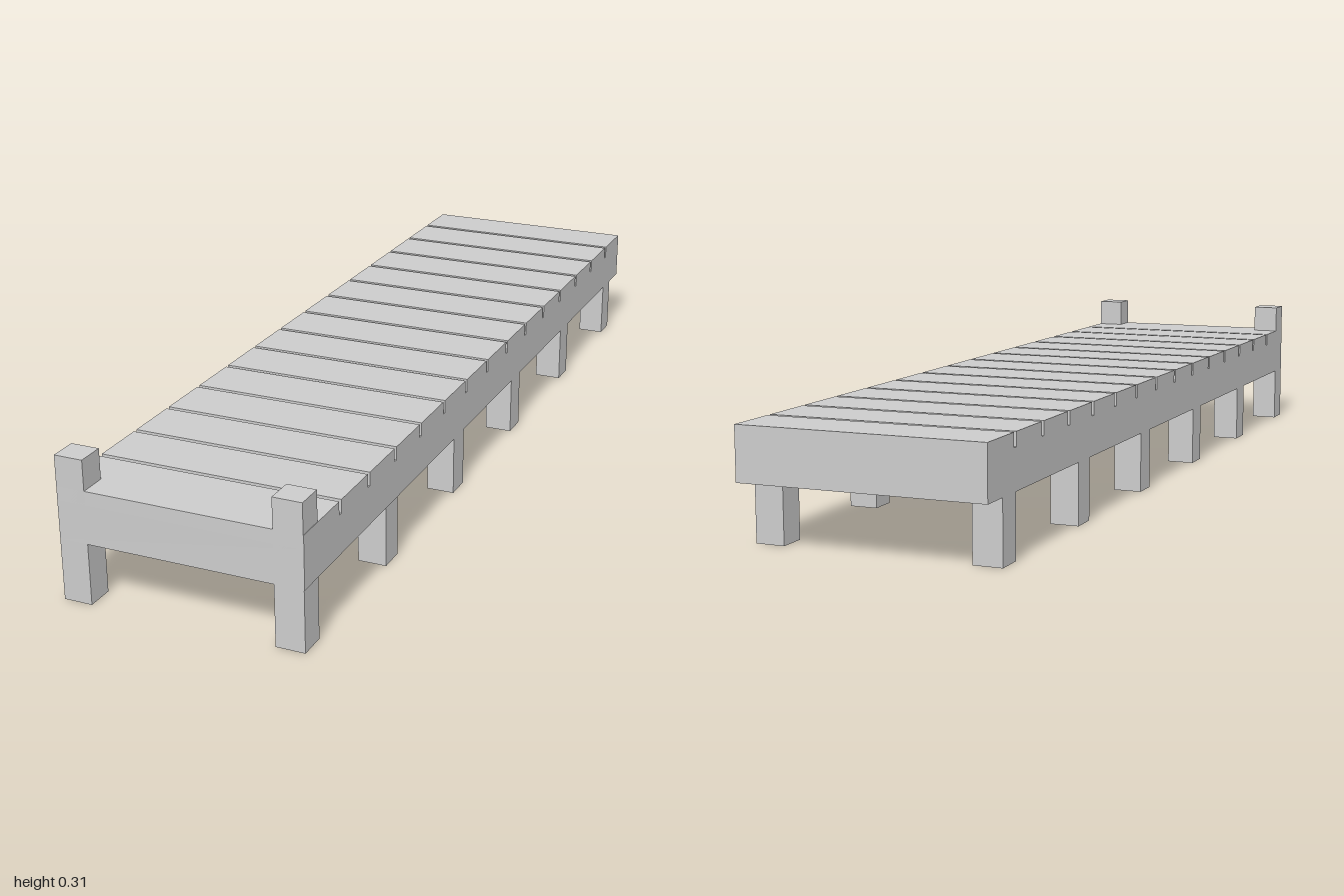
import * as THREE from 'three';

export function createModel() {
  const pier = new THREE.Group();
  pier.name = 'pier';
  const material = new THREE.MeshStandardMaterial({ color: 0xcccccc, flatShading: true });

  // Box given by its minimum and maximum corners
  function box(name, [x0, y0, z0], [x1, y1, z1], parent) {
    const mesh = new THREE.Mesh(new THREE.BoxGeometry(x1 - x0, y1 - y0, z1 - z0), material);
    mesh.position.set((x0 + x1) / 2, (y0 + y1) / 2, (z0 + z1) / 2);
    mesh.name = name;
    parent.add(mesh);
  }

  const halfWidth = 0.263, deckBottom = 0.132, plankBottom = 0.216, deckTop = 0.245;

  // Solid deck base under the planks
  box('deckBase', [-halfWidth, deckBottom, -1], [halfWidth, plankBottom, 1], pier);

  // Cross planks separated by narrow grooves
  const planks = new THREE.Group();
  planks.name = 'planks';
  pier.add(planks);
  const count = 15, pitch = 0.1323, firstGap = -0.877, gap = 0.01;
  for (let i = 0; i < count; i++) {
    const start = i === 0 ? -1 : firstGap + (i - 1) * pitch + gap / 2;
    const end = i === count - 1 ? 1 : firstGap + i * pitch - gap / 2;
    box('plank', [-halfWidth, plankBottom, start], [halfWidth, deckTop, end], planks);
  }

  // Six pairs of posts; the front pair rises above the deck
  const posts = new THREE.Group();
  posts.name = 'posts';
  pier.add(posts);
  for (let i = 0; i < 6; i++) {
    const z = 0.97 - i * 0.375;
    const top = i === 0 ? 0.31 : deckBottom;
    box('rightPost', [-0.263, 0, z - 0.03], [-0.201, top, z + 0.03], posts);
    box('leftPost', [0.2, 0, z - 0.03], [0.262, top, z + 0.03], posts);
  }

  return pier;
}
